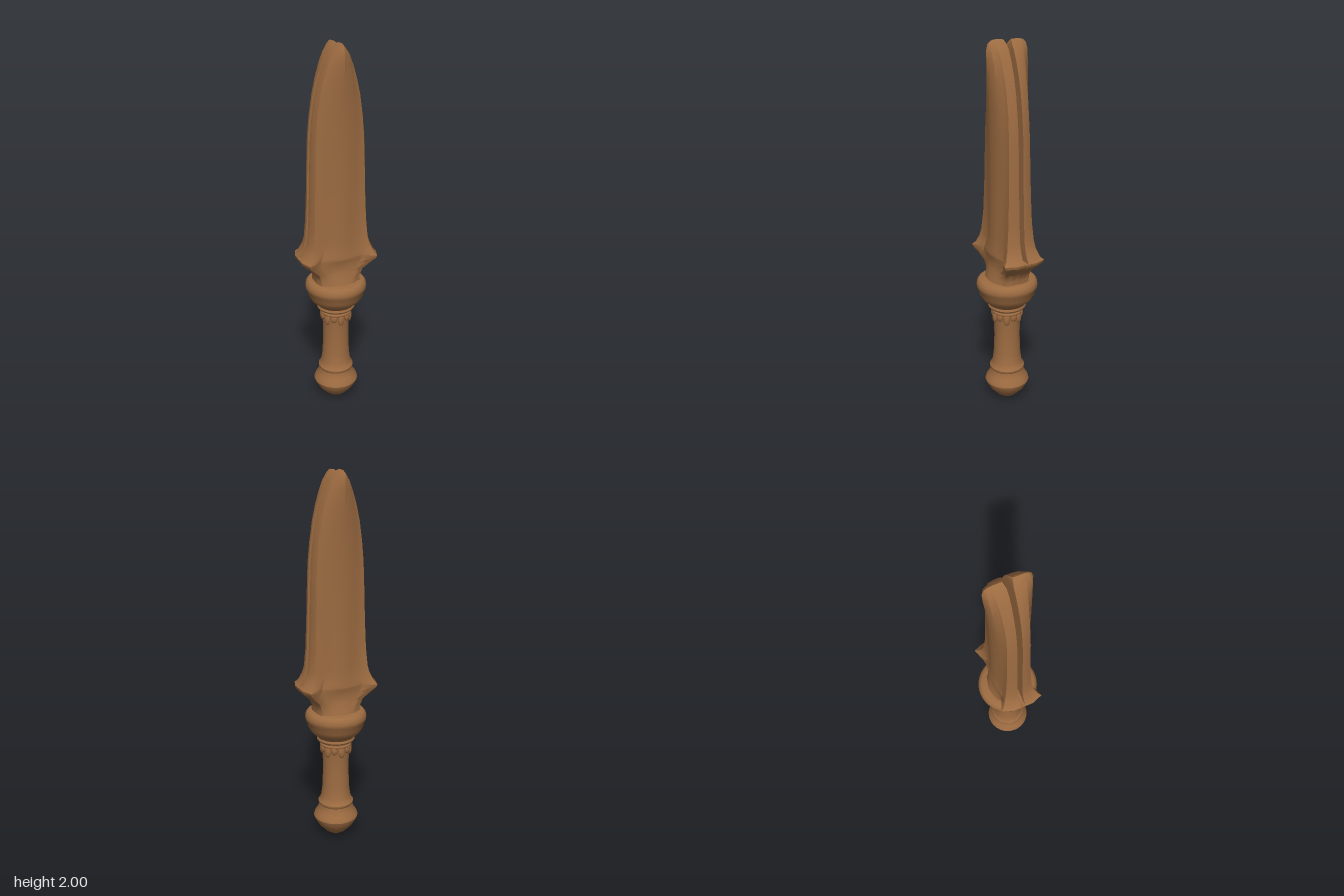
import * as THREE from 'three';
import { toCreasedNormals } from 'three/addons/utils/BufferGeometryUtils.js';

const bronze = new THREE.MeshStandardMaterial({ color: 0x9c6b41 });
bronze.name = 'bronze';

// Rows from the guard up to the tip:
// [height, half width, ridge depth, groove depth, edge depth, inner face]
const bladeRows = [
  [0.73, 0.125, 0.122, 0.105, 0.075, 0],
  [0.78, 0.122, 0.108, 0.095, 0.07, 0],
  [0.82, 0.138, 0.094, 0.084, 0.075, 0],
  [0.86, 0.185, 0.09, 0.08, 0.092, 0],
  [0.885, 0.208, 0.096, 0.08, 0.11, 0],
  [0.9, 0.211, 0.1, 0.08, 0.115, 0],
  [0.901, 0.211, 0.1, 0.08, 0.115, 0.013],
  [0.92, 0.195, 0.098, 0.077, 0.098, 0.013],
  [0.96, 0.177, 0.094, 0.073, 0.084, 0.013],
  [1.0, 0.167, 0.092, 0.071, 0.077, 0.013],
  [1.1, 0.159, 0.09, 0.07, 0.068, 0.013],
  [1.25, 0.153, 0.088, 0.07, 0.063, 0.013],
  [1.4, 0.149, 0.088, 0.071, 0.06, 0.013],
  [1.55, 0.143, 0.09, 0.074, 0.058, 0.013],
  [1.65, 0.133, 0.094, 0.078, 0.057, 0.013],
  [1.75, 0.117, 0.1, 0.083, 0.058, 0.013],
  [1.83, 0.096, 0.106, 0.088, 0.06, 0.013],
  [1.9, 0.07, 0.111, 0.094, 0.064, 0.013],
  [1.95, 0.046, 0.113, 0.097, 0.068, 0.013],
  [1.98, 0.022, 0.105, 0.092, 0.068, 0.015],
  [1.995, 0.007, 0.088, 0.08, 0.064, 0.021],
  [2.0, 0, 0.07, 0.065, 0.055, 0.028],
];

// One half of the split blade, lofted through closed outlines
function bladeHalf() {
  const positions = [];
  const indices = [];
  let n = 0;
  for (const [y, w, d, g, e, inner] of bladeRows) {
    const side = [[1, inner], [1, Math.max(inner + 0.008, e * 0.5)], [0.9, e],
      [0.74, (e * 0.7 + g * 0.3)], [0.55, g], [0.28, d * 0.6 + g * 0.4]];
    const ring = [
      ...side.map(([f, z]) => [-f * w, z]),
      [0, d],
      ...side.slice().reverse().map(([f, z]) => [f * w, z]),
    ];
    n = ring.length;
    ring.forEach(([x, z]) => positions.push(x, y, z));
  }
  for (let i = 0; i < bladeRows.length - 1; i++) {
    for (let j = 0; j < n; j++) {
      const k = (j + 1) % n;
      const a = i * n + j, b = i * n + k;
      indices.push(a, b, b + n, a, b + n, a + n);
    }
  }
  const geometry = new THREE.BufferGeometry();
  geometry.setAttribute('position', new THREE.Float32BufferAttribute(positions, 3));
  geometry.setIndex(indices);
  return toCreasedNormals(geometry, 0.55);
}

function lathe(name, profile) {
  const points = profile.map(([r, y]) => new THREE.Vector2(r, y));
  const geometry = toCreasedNormals(new THREE.LatheGeometry(points, 40), 0.6);
  const mesh = new THREE.Mesh(geometry, bronze);
  mesh.name = name;
  return mesh;
}

export function createModel() {
  const model = new THREE.Group();
  model.name = 'splitBladeDagger';

  // Two facing blade halves with their share of the horned guard
  const half = bladeHalf();
  ['frontBladeHalf', 'backBladeHalf'].forEach((name, i) => {
    const mesh = new THREE.Mesh(half, bronze);
    mesh.name = name;
    mesh.rotation.y = i * Math.PI;
    model.add(mesh);
  });

  // Pommel, grip and the cup below the guard
  model.add(lathe('pommel', [
    [0, 0], [0.022, 0.008], [0.06, 0.034], [0.096, 0.072], [0.117, 0.107],
    [0.123, 0.124], [0.119, 0.138], [0.103, 0.162], [0.094, 0.185], [0.092, 0.2],
  ]));
  model.add(lathe('grip', [
    [0.092, 0.198], [0.097, 0.206], [0.097, 0.215], [0.089, 0.225], [0.081, 0.25],
    [0.075, 0.3], [0.071, 0.4], [0.072, 0.48], [0.076, 0.53], [0.08, 0.57], [0.085, 0.59],
  ]));
  model.add(lathe('cup', [
    [0.083, 0.575], [0.098, 0.58], [0.104, 0.59], [0.1, 0.602], [0.108, 0.612],
    [0.132, 0.632], [0.15, 0.662], [0.157, 0.692], [0.164, 0.702], [0.166, 0.717],
    [0.162, 0.737], [0.151, 0.75], [0.133, 0.755], [0.11, 0.758],
  ]));

  // Ring of drooping leaves around the top of the grip
  const leaves = new THREE.Group();
  leaves.name = 'gripLeaves';
  const leafGeometry = new THREE.SphereGeometry(1, 12, 8);
  for (let i = 0; i < 12; i++) {
    const angle = (i / 12) * Math.PI * 2;
    const length = i % 2 ? 0.026 : 0.036;
    const leaf = new THREE.Mesh(leafGeometry, bronze);
    leaf.name = 'leaf';
    leaf.scale.set(0.019, length, 0.011);
    leaf.position.set(Math.sin(angle) * 0.077, 0.567 - length, Math.cos(angle) * 0.077);
    leaf.rotation.y = angle;
    leaves.add(leaf);
  }
  const band = new THREE.Mesh(new THREE.TorusGeometry(0.08, 0.008, 8, 36), bronze);
  band.name = 'leafBand';
  band.rotation.x = Math.PI / 2;
  band.position.y = 0.56;
  leaves.add(band);
  model.add(leaves);

  return model;
}
